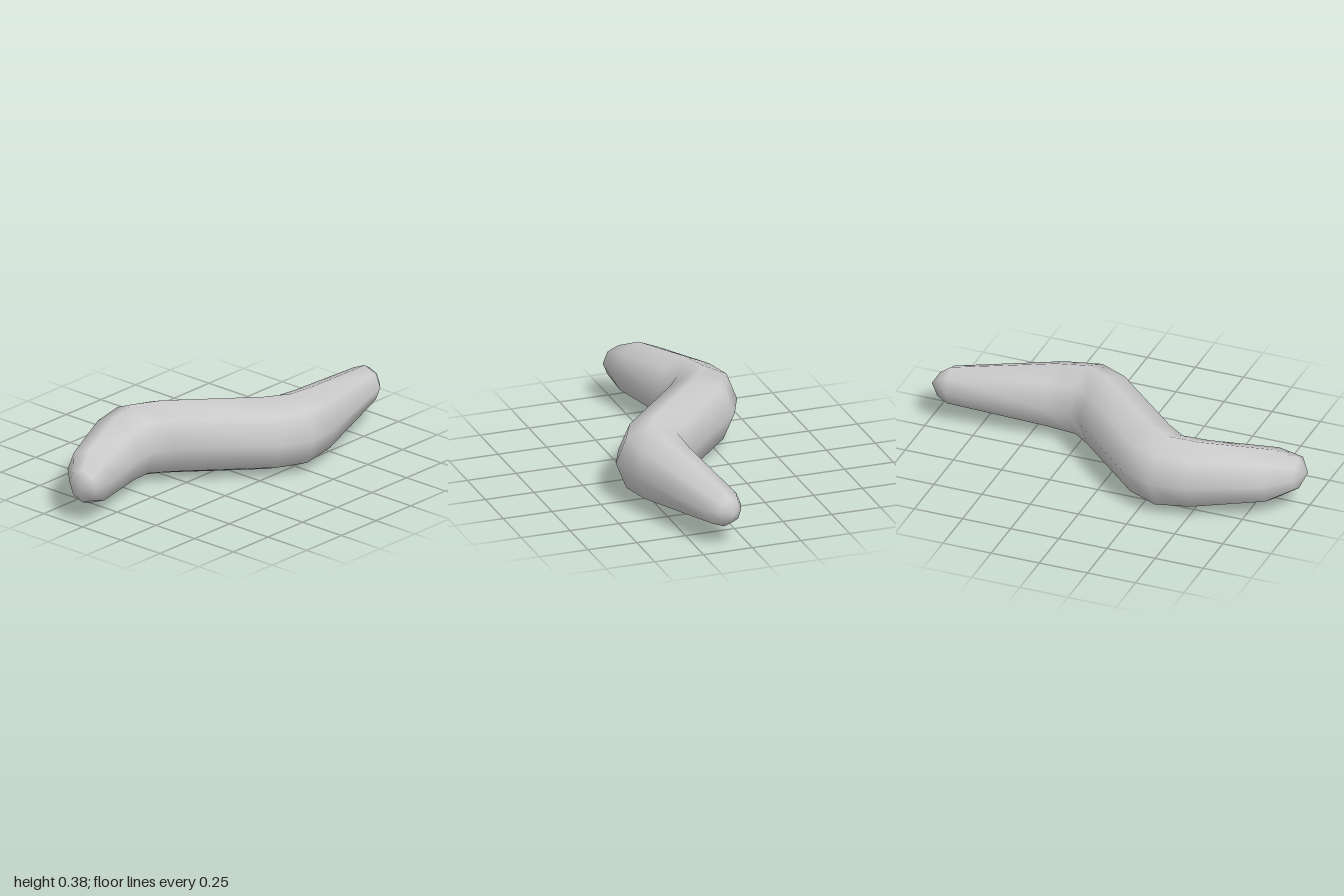
import * as THREE from 'three';

const SIDES = 8;
const MID_Y = 0.19;

// Cross-sections from front to back: [x, z] of the right edge, [x, z] of the left edge, half height
const RINGS = [
  [-0.12, 0.96, 0.045, 0.955, 0.084],
  [-0.235, 0.845, 0.04, 0.84, 0.139],
  [-0.385, 0.51, -0.055, 0.52, 0.174],
  [-0.413, 0.33, -0.075, 0.40, 0.187],
  [-0.338, 0.16, -0.005, 0.315, 0.188],
  [0.0, -0.2, 0.34, -0.06, 0.188],
  [0.06, -0.27, 0.41, -0.215, 0.187],
  [0.06, -0.41, 0.382, -0.41, 0.168],
  [0.02, -0.9, 0.205, -0.92, 0.096],
  [0.04, -0.955, 0.16, -0.965, 0.064],
];
const FRONT_TIP = [-0.018, MID_Y, 0.998];
const BACK_TIP = [0.092, MID_Y, -1];

function bodyGeometry() {
  const positions = [];
  const index = [];
  for (const [x0, z0, x1, z1, h] of RINGS) {
    for (let j = 0; j < SIDES; j++) {
      const a = (j / SIDES) * Math.PI * 2;
      const t = (1 + Math.cos(a)) / 2;
      positions.push(x0 + (x1 - x0) * t, MID_Y + h * Math.sin(a), z0 + (z1 - z0) * t);
    }
  }
  const front = RINGS.length * SIDES;
  const back = front + 1;
  const last = (RINGS.length - 1) * SIDES;
  positions.push(...FRONT_TIP, ...BACK_TIP);

  for (let j = 0; j < SIDES; j++) {
    const k = (j + 1) % SIDES;
    // Bands between the cross-sections
    for (let r = 0; r < last; r += SIDES) {
      const n = r + SIDES;
      index.push(r + j, n + j, r + k, n + j, n + k, r + k);
    }
    // Pointed end caps
    index.push(front, j, k, back, last + k, last + j);
  }

  const geometry = new THREE.BufferGeometry();
  geometry.setAttribute('position', new THREE.Float32BufferAttribute(positions, 3));
  geometry.setIndex(index);
  geometry.computeVertexNormals();
  return geometry;
}

export function createModel() {
  const group = new THREE.Group();
  group.name = 'bentRoll';
  const body = new THREE.Mesh(bodyGeometry(), new THREE.MeshStandardMaterial({ color: 0xcccccc }));
  body.name = 'body';
  group.add(body);
  return group;
}
